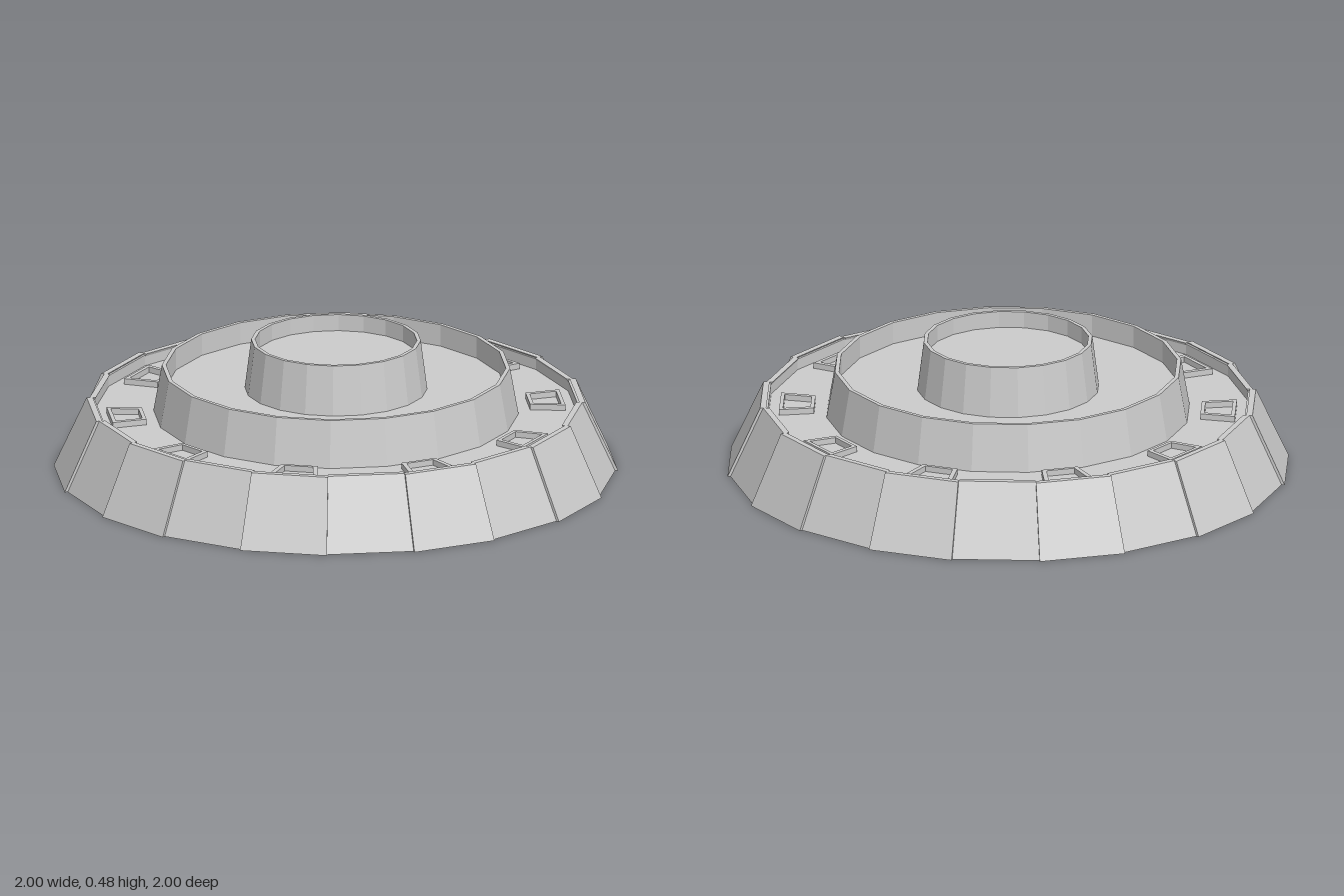
import * as THREE from 'three';

const material = new THREE.MeshStandardMaterial({ color: 0xcccccc, flatShading: true, side: THREE.DoubleSide });
const rad = THREE.MathUtils.degToRad;
const lerp = THREE.MathUtils.lerp;
const SIDES = 20;

function add(parent, name, geometry, x = 0, y = 0, z = 0) {
  const mesh = new THREE.Mesh(geometry, material);
  mesh.name = name;
  mesh.position.set(x, y, z);
  parent.add(mesh);
  return mesh;
}

function box(parent, name, w, h, d, x, y, z) {
  return add(parent, name, new THREE.BoxGeometry(w, h, d), x, y, z);
}

// Repeats a part around the centre; its local +z points outward
function around(parent, name, count, startDeg, build) {
  for (let i = 0; i < count; i++) {
    const g = new THREE.Group();
    g.name = name;
    g.rotation.y = rad(startDeg + (360 / count) * i);
    build(g, i);
    parent.add(g);
  }
}

// Sloped wall slab: a box bent onto one side of the polygon
function panelGeometry(radius) {
  const g = new THREE.BoxGeometry(1, 1, 1);
  const p = g.attributes.position;
  for (let i = 0; i < p.count; i++) {
    const a = p.getX(i) * rad(18), v = p.getY(i) + 0.5;
    const r = radius - 0.117 * v - (p.getZ(i) < 0 ? lerp(0.012, 0.022, v) : 0);
    p.setXYZ(i, r * Math.sin(a), v * 0.255, r * Math.cos(a));
  }
  g.computeVertexNormals();
  return g;
}

// Flat ring from an outer outline and the same outline shrunk about its middle
function frameGeometry(points, shrink, depth) {
  const shape = new THREE.Shape(points.map(([x, y]) => new THREE.Vector2(x, y)));
  shape.holes.push(new THREE.Path(points.map(([x, y]) => new THREE.Vector2(x * shrink, y * shrink))));
  return new THREE.ExtrudeGeometry(shape, { depth, bevelEnabled: false }).rotateX(Math.PI / 2);
}

function polygon(n, r) {
  return Array.from({ length: n }, (_, i) => {
    const a = (i / n) * Math.PI * 2;
    return [r * Math.cos(a), r * Math.sin(a)];
  });
}

// Small emplacement under the outer deck
function smallUnit(g) {
  const z = 0.75;
  add(g, 'unitBase', frameGeometry([[-0.06, -0.06], [0.06, -0.06], [0.095, 0.02], [0.05, 0.065], [-0.05, 0.065], [-0.095, 0.02]], 0.72, 0.025), 0, 0.035, z);
  box(g, 'unitBody', 0.1, 0.035, 0.08, 0, 0.07, z);
  box(g, 'unitTop', 0.13, 0.02, 0.06, 0, 0.1, z);
  for (const s of [-1, 1]) {
    box(g, 'unitSide', 0.03, 0.055, 0.09, s * 0.065, 0.06, z);
    box(g, 'unitStrut', 0.012, 0.02, 0.12, s * 0.028, 0.04, z);
  }
  box(g, 'unitBar', 0.12, 0.02, 0.018, 0, 0.035, z);
}

// Larger machinery block under the middle floor
function largeUnit(g) {
  const z = 0.45;
  add(g, 'blockFrame', frameGeometry([[-0.2, -0.07], [-0.12, -0.12], [0.12, -0.12], [0.2, -0.07], [0.2, 0.07], [0.12, 0.11], [-0.12, 0.11], [-0.2, 0.07]], 0.8, 0.025), 0, 0.07, z);
  box(g, 'blockCore', 0.3, 0.04, 0.15, 0, 0.1, z);
  box(g, 'blockTop', 0.2, 0.03, 0.1, 0, 0.13, z);
  for (const s of [-1, 1]) {
    box(g, 'blockEnd', 0.07, 0.06, 0.13, s * 0.16, 0.085, z);
    box(g, 'blockPod', 0.07, 0.05, 0.06, s * 0.07, 0.07, z + 0.06);
    box(g, 'blockStrut', 0.02, 0.025, 0.2, s * 0.07, 0.06, z);
  }
  box(g, 'blockBeam', 0.36, 0.025, 0.025, 0, 0.06, z);
}

export function createModel() {
  const model = new THREE.Group();
  model.name = 'fortressBase';

  // Sloped slabs, those beside the hatches standing proud
  around(model, 'wallPanel', SIDES, 15, (g, i) => {
    add(g, 'panel', panelGeometry(i % 2 ? 0.994 : 1.005));
  });

  // Stepped decks, each sunk behind a thin rim
  const tiers = {
    outerDeck: [[0.872, 0.25], [0.86, 0.25], [0.86, 0.21], [0.645, 0.21]],
    middleTier: [[0.65, 0.21], [0.62, 0.38], [0.605, 0.38], [0.605, 0.3], [0.32, 0.3]],
    centralTower: [[0.325, 0.3], [0.302, 0.48], [0.288, 0.48], [0.288, 0.42], [0, 0.42]],
  };
  for (const [name, pts] of Object.entries(tiers)) {
    const profile = pts.map(([r, y]) => new THREE.Vector2(r, y)).reverse();
    add(model, name, new THREE.LatheGeometry(profile, SIDES, rad(6)));
  }

  // Tapered hatch frames, wide side outward
  const hatch = frameGeometry([[-0.066, -0.062], [0.066, -0.062], [0.09, 0.062], [-0.09, 0.062]], 0.78, 0.021);
  around(model, 'hatch', 10, 15, (g) => {
    add(g, 'hatchFrame', hatch, 0, 0.232, 0.75);
  });

  // Underside: emplacements between the hatches, machinery and six-sided pods
  around(model, 'emplacement', 10, -3, smallUnit);
  around(model, 'machineryBlock', 5, -53, largeUnit);
  around(model, 'hexPod', 5, -17, (g) => {
    add(g, 'podRing', frameGeometry(polygon(6, 0.085), 0.72, 0.02), 0, 0.06, 0.48);
    add(g, 'podPlate', new THREE.CylinderGeometry(0.06, 0.075, 0.02, 6), 0, 0.075, 0.48);
  });

  // Square core with nested frames and a pillar
  const core = new THREE.Group();
  core.name = 'core';
  core.rotation.y = rad(-53);
  add(core, 'coreOuterFrame', frameGeometry(polygon(4, 0.28), 0.8, 0.025), 0, 0.08, 0);
  add(core, 'coreInnerFrame', frameGeometry(polygon(4, 0.2), 0.75, 0.025), 0, 0.11, 0);
  add(core, 'corePlate', new THREE.CylinderGeometry(0.12, 0.23, 0.03, 4), 0, 0.125, 0);
  add(core, 'corePillar', new THREE.CylinderGeometry(0.045, 0.045, 0.1, 4), 0, 0.1, 0);
  for (let i = 0; i < 2; i++) {
    box(core, 'coreBrace', 0.4, 0.03, 0.02, 0, 0.09, 0).rotation.y = (i * Math.PI) / 2;
  }
  model.add(core);

  return model;
}
